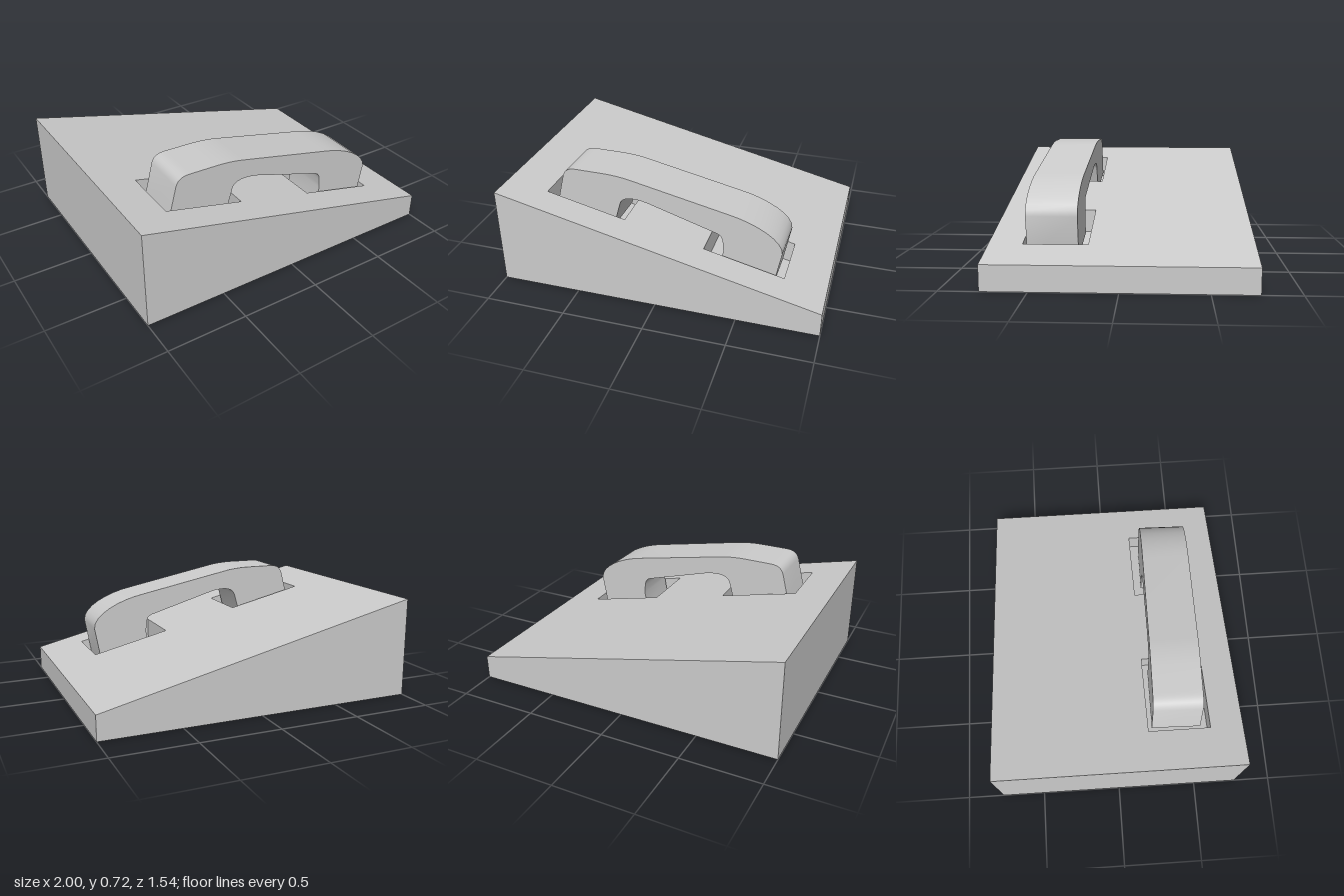
import * as THREE from 'three';
import { toCreasedNormals } from 'three/addons/utils/BufferGeometryUtils.js';

const material = new THREE.MeshStandardMaterial({ color: 0xcccccc });

// height of the sloping top at x
const slope = (x) => 0.3865 - 0.2345 * x;

// side profile pushed along z from z0 to z1
function slab(name, shape, z0, z1, crease) {
  const raw = new THREE.ExtrudeGeometry(shape, {
    depth: z1 - z0, bevelEnabled: false, curveSegments: 8,
  });
  raw.translate(0, 0, z0);
  const mesh = new THREE.Mesh(toCreasedNormals(raw, crease), material);
  mesh.name = name;
  return mesh;
}

// wedge profile with optional wells cut down from the slope
function wedge(wells = [], depth = 0.14) {
  const s = new THREE.Shape();
  s.moveTo(-1, 0);
  s.lineTo(1, 0);
  s.lineTo(1, slope(1));
  for (const [a, b] of wells) {
    s.lineTo(b, slope(b));
    s.lineTo(b, slope(b) - depth);
    s.lineTo(a, slope(a) - depth);
    s.lineTo(a, slope(a));
  }
  s.lineTo(-1, slope(-1));
  s.closePath();
  return s;
}

// handset outline: rounded back, two ends reaching into the wells
function handsetShape() {
  const s = new THREE.Shape();
  s.moveTo(-0.71, 0.45);
  s.lineTo(-0.655, 0.665);
  s.bezierCurveTo(-0.64, 0.71, -0.61, 0.72, -0.56, 0.72);
  s.lineTo(-0.4, 0.72);
  s.quadraticCurveTo(-0.29, 0.72, -0.2, 0.7);
  s.lineTo(0.39, 0.58);
  s.bezierCurveTo(0.56, 0.55, 0.73, 0.46, 0.725, 0.37);
  s.lineTo(0.68, 0.12);
  s.lineTo(0.35, 0.2);
  s.lineTo(0.37, 0.32);
  s.bezierCurveTo(0.365, 0.4, 0.365, 0.42, 0.33, 0.435);
  s.lineTo(-0.11, 0.565);
  s.bezierCurveTo(-0.21, 0.59, -0.27, 0.575, -0.285, 0.535);
  s.lineTo(-0.335, 0.36);
  s.closePath();
  return s;
}

export function createModel() {
  const model = new THREE.Group();
  model.name = 'deskTelephone';

  // base: plain back block, cradle strip with two wells, front rail
  const base = new THREE.Group();
  base.name = 'base';
  base.add(
    slab('backBlock', wedge(), -0.77, 0.19, 0.2),
    slab('cradle', wedge([[0.25, 0.745], [-0.75, -0.25]]), 0.19, 0.57, 0.2),
    slab('frontRail', wedge(), 0.57, 0.77, 0.2),
  );
  model.add(base);

  // handset rests slightly askew
  const handset = slab('handset', handsetShape(), -0.152, 0.152, 0.6);
  handset.position.z = 0.388;
  handset.rotation.y = -0.024;
  model.add(handset);

  return model;
}
